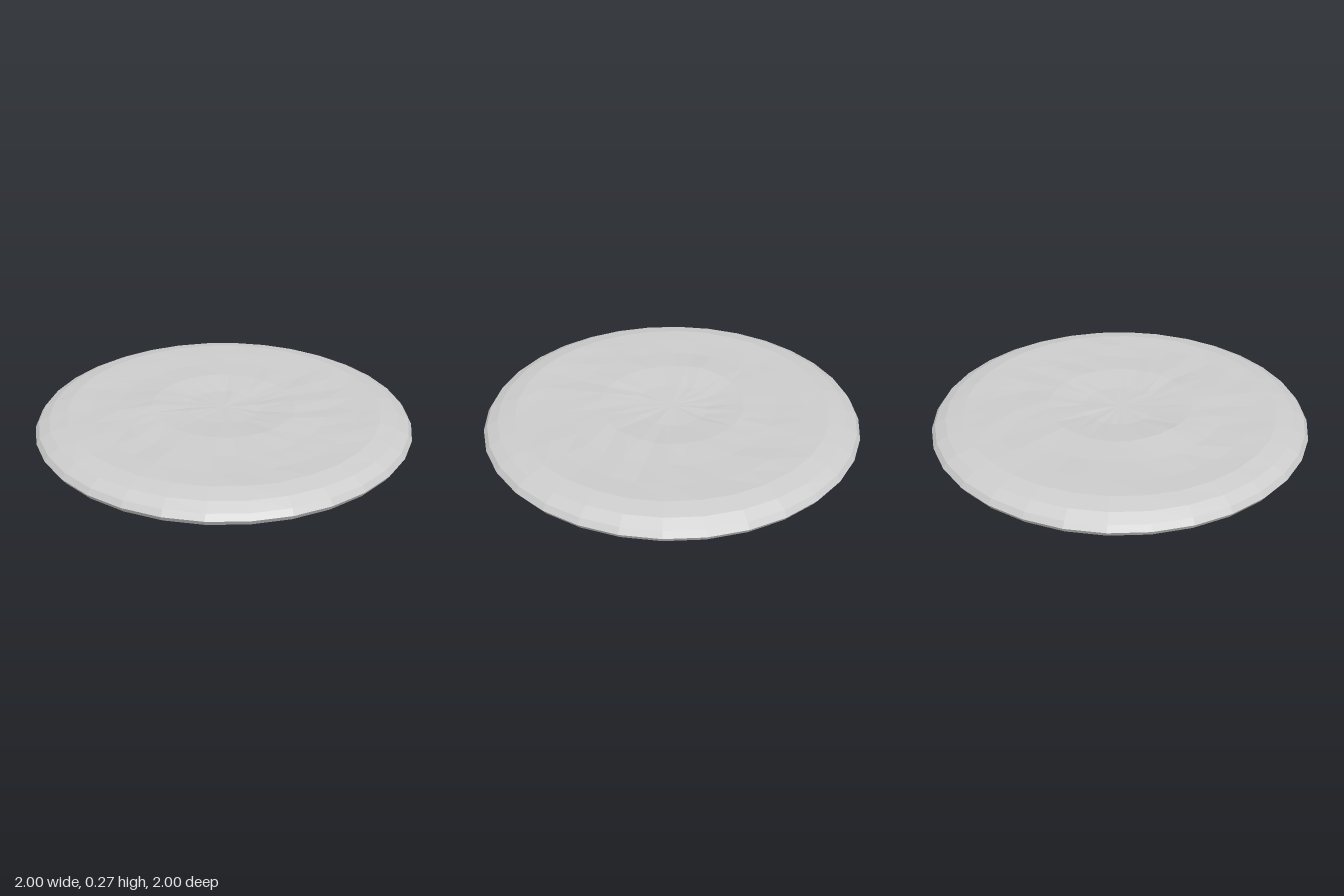
import * as THREE from 'three';

const SEGMENTS = 32, RINGS = 16, MID = 0.175;

// Plateau heights by ring, from the pole out to the rim
const TOP = [0.235, 0.236, 0.252, 0.248, 0.249, 0.25, 0.232, 0.204];
const BOTTOM = [0.05, 0.068, 0.072, 0.076, 0.08, 0.095, 0.118, 0.146];

// Hanging points on the underside: x, y, z, reach
const SPIKES = [
  [0.24, 0, 0.05, 0.15],
  [-0.7, 0.025, 0.08, 0.15],
  [-0.21, 0.02, -0.51, 0.17],
  [0.5, 0.035, 0.1, 0.14],
  [-0.1, 0.05, 0.62, 0.16],
];

// Repeatable value in -1..1 for a lattice point
function jitter(i, j) {
  const s = Math.sin(i * 127.1 + j * 311.7) * 43758.5453;
  return 2 * (s - Math.floor(s)) - 1;
}

function createDiscGeometry() {
  const geometry = new THREE.SphereGeometry(1, SEGMENTS, RINGS);
  const p = geometry.attributes.position;
  for (let k = 0; k < p.count; k++) {
    const row = Math.floor(k / (SEGMENTS + 1));
    const col = (k % (SEGMENTS + 1)) % SEGMENTS;
    const ring = Math.min(row, RINGS - row);
    const x = p.getX(k), z = p.getZ(k);
    let y = MID;
    if (ring < 8) {
      // Uneven surface, fading to a clean rim
      const rough = ring === 0 || ring > 5 ? 0 : ring === 5 ? 0.4 : 1;
      const wave = Math.sin(5 * x + 1) * Math.cos(4 * z - 1);
      if (row < 8) {
        y = TOP[ring] + rough * (0.004 * wave + 0.0035 * jitter(row, col));
        // Low ridge beside the centre
        y += 0.014 * Math.exp(-((x + 0.24) ** 2 + (z - 0.3) ** 2) / 0.02);
      } else {
        y = BOTTOM[ring] + rough * (0.004 * wave + 0.003 * jitter(row, col));
        for (const [sx, sy, sz, reach] of SPIKES) {
          const t = Math.max(0, 1 - Math.hypot(x - sx, z - sz) / reach);
          y = THREE.MathUtils.lerp(y, Math.min(y, sy), t);
        }
      }
    }
    p.setY(k, y);
  }

  // Pull the closest underside vertex onto each tip
  for (const [sx, sy, sz] of SPIKES) {
    let best = -1, bestDistance = Infinity;
    for (let k = 9 * (SEGMENTS + 1); k < (RINGS - 0) * (SEGMENTS + 1); k++) {
      if (k % (SEGMENTS + 1) === 0 || k % (SEGMENTS + 1) === SEGMENTS) continue; // skip the seam
      const d = Math.hypot(p.getX(k) - sx, p.getZ(k) - sz);
      if (d < bestDistance) { bestDistance = d; best = k; }
    }
    p.setXYZ(best, sx, sy, sz);
  }

  const faceted = geometry.toNonIndexed();
  faceted.computeVertexNormals();
  return faceted;
}

export function createModel() {
  const group = new THREE.Group();
  group.name = 'flatStone';
  const disc = new THREE.Mesh(
    createDiscGeometry(),
    new THREE.MeshStandardMaterial({ color: 0xcccccc, flatShading: true })
  );
  disc.name = 'roughDisc';
  group.add(disc);
  return group;
}
